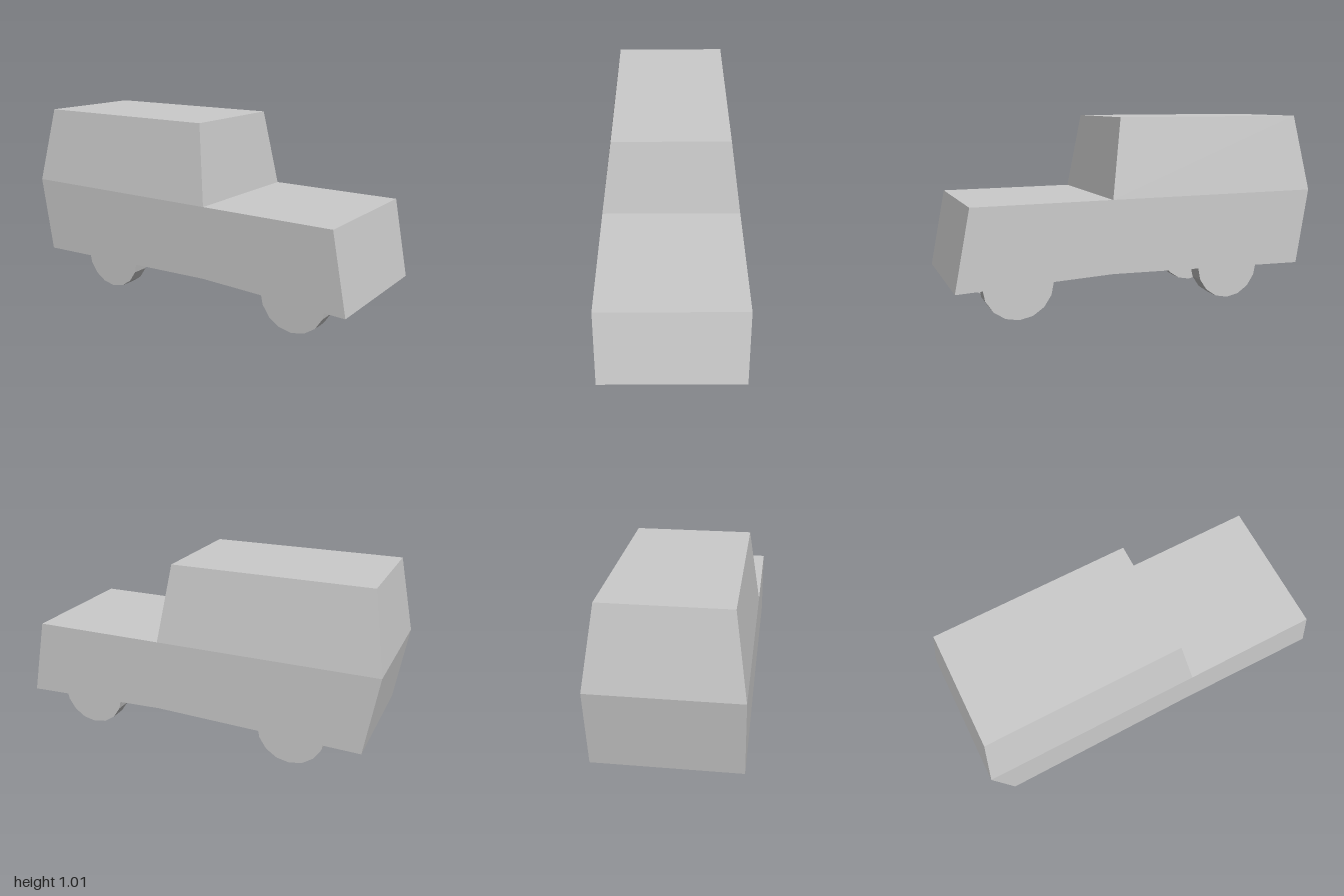
import * as THREE from 'three';

const material = new THREE.MeshStandardMaterial({ color: 0xcccccc, flatShading: true });

// Side outline [z, y, half width], from the nose bottom over the roof to the belly
const outline = [
  [1, 0.185, 0.37], [0.92, 0.6, 0.37], [0.19, 0.6, 0.37], [0.125, 1.015, 0.309],
  [-0.93, 1.015, 0.309], [-1, 0.6, 0.37], [-0.93, 0.185, 0.37], [0.19, 0.215, 0.37],
];

function bodyGeometry() {
  const positions = [];
  const corner = (i, side) => {
    const [z, y, w] = outline[i];
    return [side * w, y, z];
  };
  const fan = (corners) => {
    for (let i = 1; i < corners.length - 1; i++) {
      positions.push(...corners[0], ...corners[i], ...corners[i + 1]);
    }
  };
  // Panels running around the outline
  outline.forEach((_, a) => {
    const b = (a + 1) % outline.length;
    fan([corner(a, -1), corner(a, 1), corner(b, 1), corner(b, -1)]);
  });
  // Flanks: upright lower part, inward-leaning cabin part
  for (const panel of [[2, 5, 6, 7, 0, 1], [2, 3, 4, 5]]) {
    fan(panel.map((i) => corner(i, -1)));
    fan([panel[0], ...panel.slice(1).reverse()].map((i) => corner(i, 1)));
  }
  const geometry = new THREE.BufferGeometry();
  geometry.setAttribute('position', new THREE.Float32BufferAttribute(positions, 3));
  geometry.computeVertexNormals();
  return geometry;
}

export function createModel() {
  const group = new THREE.Group();
  group.name = 'car';

  const body = new THREE.Mesh(bodyGeometry(), material);
  body.name = 'body';
  group.add(body);

  // Four wheels, half sunk into the underside
  const radius = 0.185;
  const wheelGeometry = new THREE.CylinderGeometry(radius, radius, 0.092, 16).rotateZ(Math.PI / 2);
  for (const [end, z] of [['front', 0.667], ['rear', -0.535]]) {
    for (const [side, x] of [['Left', 0.236], ['Right', -0.231]]) {
      const wheel = new THREE.Mesh(wheelGeometry, material);
      wheel.name = `${end}${side}Wheel`;
      wheel.position.set(x, radius, z);
      group.add(wheel);
    }
  }
  return group;
}
